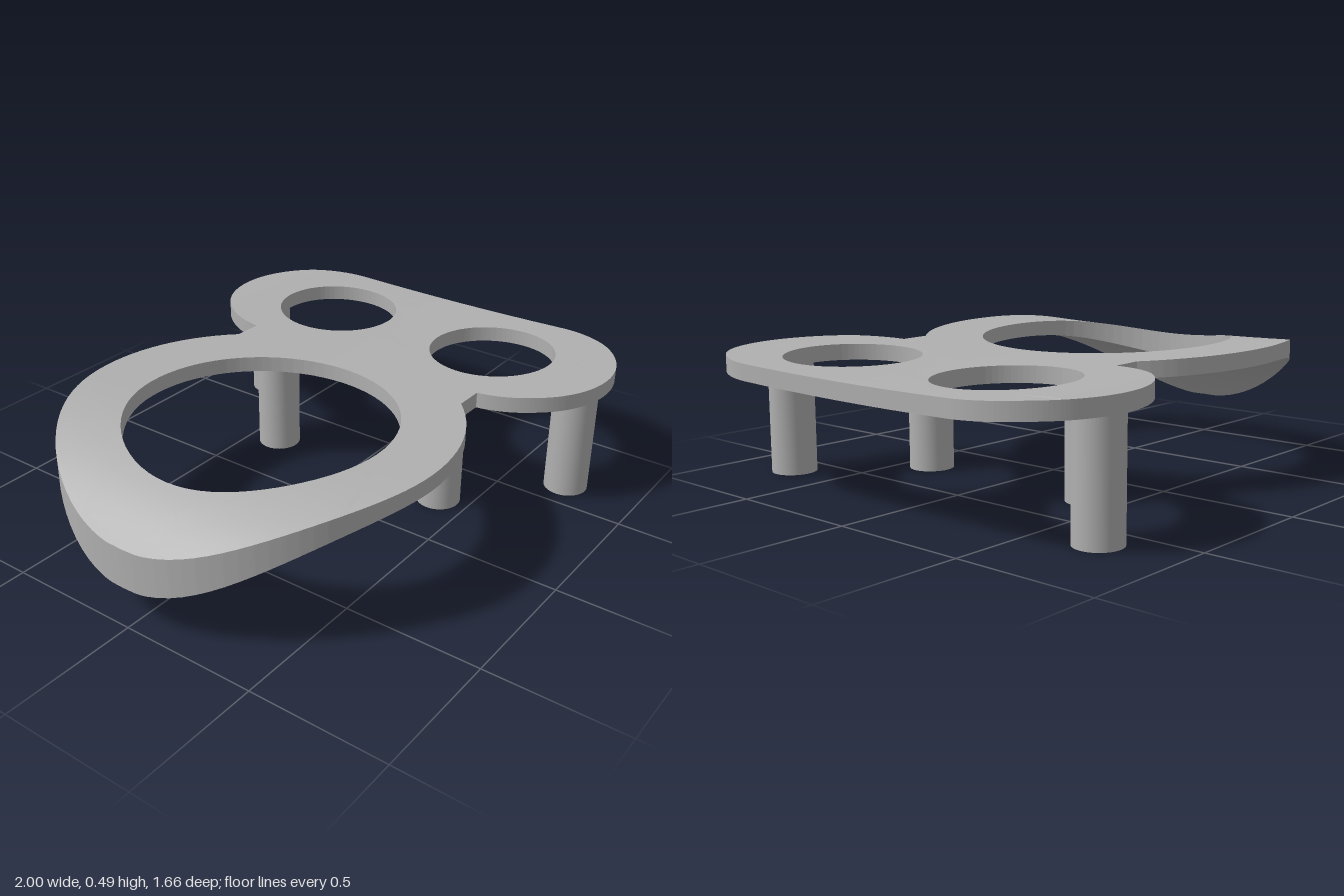
import * as THREE from 'three';
import { toCreasedNormals } from 'three/addons/utils/BufferGeometryUtils.js';

// Split every triangle into four, so a flat sheet can bend smoothly
function subdivide(geometry) {
  const p = geometry.getAttribute('position');
  const out = [];
  const [a, b, c] = [0, 1, 2].map(() => new THREE.Vector3());
  const mid = (u, v) => u.clone().add(v).multiplyScalar(0.5);
  for (let i = 0; i < p.count; i += 3) {
    a.fromBufferAttribute(p, i);
    b.fromBufferAttribute(p, i + 1);
    c.fromBufferAttribute(p, i + 2);
    const ab = mid(a, b), bc = mid(b, c), ca = mid(c, a);
    for (const v of [a, ab, ca, ab, b, bc, ca, bc, c, ab, bc, ca]) out.push(v.x, v.y, v.z);
  }
  const g = new THREE.BufferGeometry();
  g.setAttribute('position', new THREE.Float32BufferAttribute(out, 3));
  return g;
}

// Upper and lower heights of the bent plate at a plan position
function plateHeights(x, z) {
  const t = THREE.MathUtils.clamp((-0.3 - x) / 0.7, 0, 1);
  const base = 0.483 - 0.018 * x + 0.006 * z - 0.014 * (1 - Math.min(1, (z / 0.7) ** 2));
  return [base - 0.058 - 0.272 * t ** 3.3, base - 0.182 * t ** 3.8];
}

function plateGeometry() {
  const ring = { x: -0.31, r: 0.693 };
  const lobe = { x: 0.6375, y: 0.47, r: 0.3625 };
  const neck = 0.503;
  const ringAngle = Math.asin(neck / ring.r);
  const lobeAngle = Math.PI - Math.asin((neck - lobe.y) / lobe.r);

  // Outline: big ring, neck, two rounded lobes joined by a straight edge
  const shape = new THREE.Shape();
  shape.absarc(ring.x, 0, ring.r, ringAngle, 2 * Math.PI - ringAngle, false);
  shape.absarc(lobe.x, -lobe.y, lobe.r, -lobeAngle, 0, false);
  shape.absarc(lobe.x, lobe.y, lobe.r, 0, lobeAngle, false);
  shape.closePath();

  // One large and two small openings
  for (const [x, y, r] of [[ring.x, 0, 0.475], [0.6375, 0.361, 0.238], [0.6375, -0.361, 0.238]]) {
    const hole = new THREE.Path();
    hole.absarc(x, y, r, 0, Math.PI * 2, true);
    shape.holes.push(hole);
  }

  let g = new THREE.ExtrudeGeometry(shape, { depth: 1, bevelEnabled: false, curveSegments: 36 });
  g.rotateX(-Math.PI / 2);
  if (g.index) g = g.toNonIndexed();
  for (let i = 0; i < 3; i++) g = subdivide(g);

  // Bend the sheet: level over the lobes, curling down at the far end of the ring
  const p = g.getAttribute('position');
  for (let i = 0; i < p.count; i++) {
    const [low, high] = plateHeights(p.getX(i), p.getZ(i));
    p.setY(i, THREE.MathUtils.lerp(low, high, p.getY(i)));
  }
  return toCreasedNormals(g, 0.6);
}

// Hollow round post standing on the ground
function postGeometry(height) {
  const profile = [[0.035, height], [0.035, 0], [0.082, 0], [0.082, height]];
  const g = new THREE.LatheGeometry(profile.map(([x, y]) => new THREE.Vector2(x, y)), 40);
  return toCreasedNormals(g, 0.6);
}

export function createModel() {
  const model = new THREE.Group();
  model.name = 'ringPlateStand';
  const grey = new THREE.MeshStandardMaterial({ color: 0xb0b0b0 });
  grey.name = 'grey';

  const plate = new THREE.Mesh(plateGeometry(), grey);
  plate.name = 'plate';
  model.add(plate);

  // Four posts: an inner pair by the neck and an outer pair under the lobes
  for (const [name, x, z] of [['innerPost', 0.26, 0.38], ['outerPost', 0.635, 0.72]]) {
    for (const side of [1, -1]) {
      const [low, high] = plateHeights(x, z * side);
      const post = new THREE.Mesh(postGeometry((low + high) / 2), grey);
      post.name = name + (side > 0 ? 'Front' : 'Back');
      post.position.set(x, 0, z * side);
      model.add(post);
    }
  }
  return model;
}
